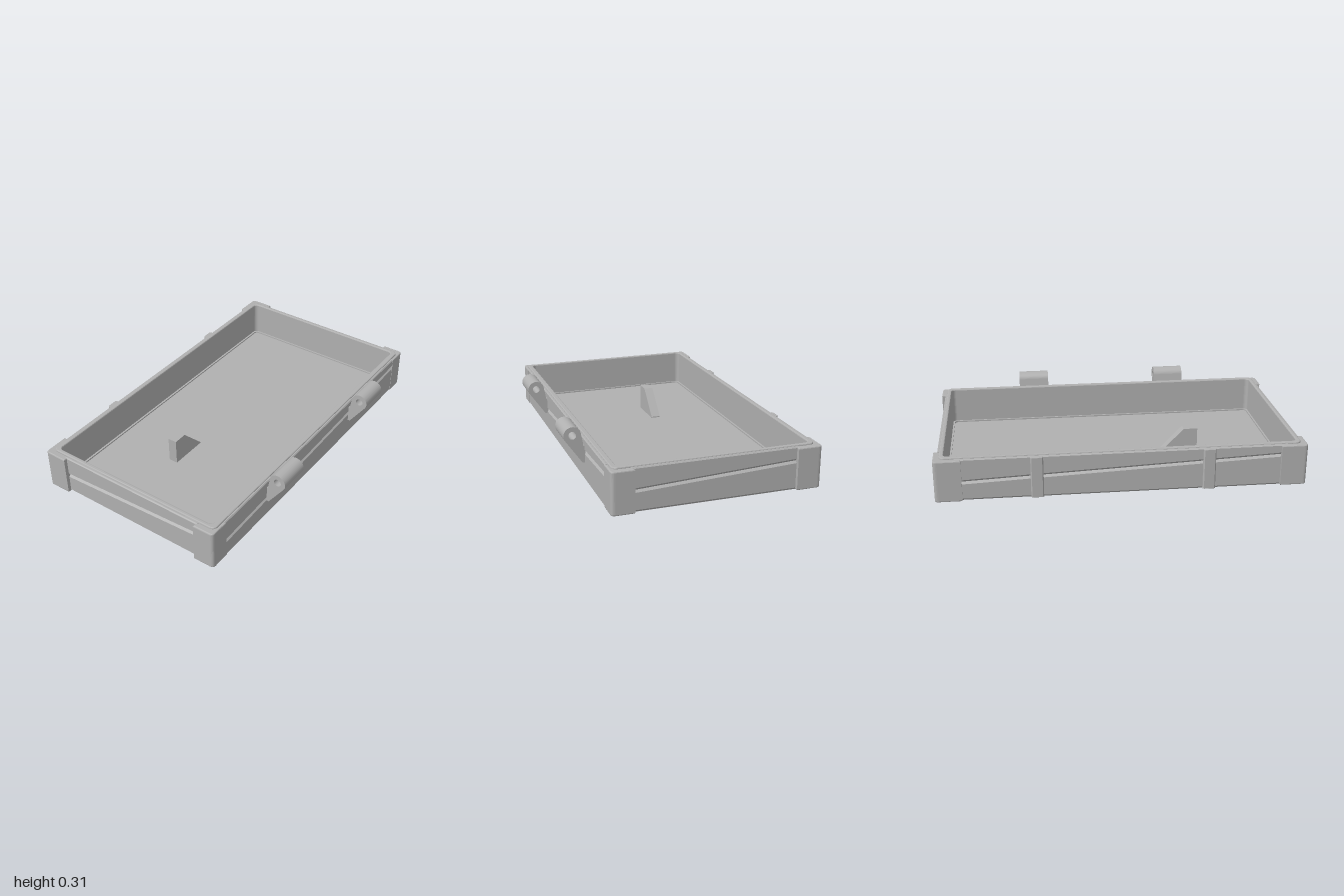
import * as THREE from 'three';

const grey = new THREE.MeshStandardMaterial({ color: 0xb0b0b0 });
grey.name = 'plain grey';

// Tray plan: back and front faces, and half width
const BACK = -0.605, FRONT = 0.51, HALF = 0.98;
const MID = (BACK + FRONT) / 2;

function add(parent, name, geometry) {
  const mesh = new THREE.Mesh(geometry, grey);
  mesh.name = name;
  parent.add(mesh);
  return mesh;
}

// Rounded rectangle, drawn in plan with y = -z
function roundedRect(Type, x, z0, z1, r) {
  const s = new Type(), b = -z1, t = -z0;
  s.moveTo(-x + r, b);
  s.lineTo(x - r, b);
  s.absarc(x - r, b + r, r, -Math.PI / 2, 0);
  s.lineTo(x, t - r);
  s.absarc(x - r, t - r, r, 0, Math.PI / 2);
  s.lineTo(-x + r, t);
  s.absarc(-x + r, t - r, r, Math.PI / 2, Math.PI);
  s.lineTo(-x, b + r);
  s.absarc(-x + r, b + r, r, Math.PI, Math.PI * 1.5);
  return s;
}

// Extrude a plan shape upwards between two heights, bevelled within its outline
function rise(shape, y0, y1, bevel = 0) {
  const g = new THREE.ExtrudeGeometry(shape, {
    depth: y1 - y0 - 2 * bevel, curveSegments: 6, bevelEnabled: bevel > 0,
    bevelThickness: bevel, bevelSize: bevel, bevelOffset: -bevel, bevelSegments: 2,
  });
  g.rotateX(-Math.PI / 2);
  g.translate(0, y0 + bevel, 0);
  return g;
}

// Sweep a profile of [inward, height, shift inward, shift up] along x;
// the shifts move a point at the far end, so grooves can run at a slant
function sweep(points, length) {
  const shape = new THREE.Shape(points.map(p => new THREE.Vector2(p[0], p[1])));
  const g = new THREE.ExtrudeGeometry(shape, { depth: length, bevelEnabled: false });
  const pos = g.attributes.position;
  for (let i = 0; i < pos.count; i++) {
    if (pos.getZ(i) < length / 2) continue;
    const u = pos.getX(i), v = pos.getY(i);
    const p = points.find(q => Math.hypot(q[0] - u, q[1] - v) < 1e-4);
    if (p) pos.setXY(i, u + (p[2] || 0), v + (p[3] || 0));
  }
  g.computeVertexNormals();
  g.translate(0, 0, -length / 2);
  g.rotateY(Math.PI / 2);
  return g;
}

// Outer wall with a slanted V groove
function wallPanel(length, yStart, yEnd) {
  const d = yEnd - yStart;
  return sweep([
    [0.02, 0], [0.02, 0.236], [0.005, 0.236], [0, 0.23],
    [0, yStart + 0.012, 0, d], [0.011, yStart, 0, d], [0, yStart - 0.012, 0, d],
    [0, 0.012], [0.01, 0.001],
  ], length);
}

// Underside with three V grooves
function underside(length) {
  const pts = [[-FRONT + 0.012, 0.012], [-FRONT + 0.012, 0]];
  for (const [zLeft, zRight] of [[0.14, 0.27], [-0.05, -0.06], [-0.39, -0.27]]) {
    const u = -zLeft, s = zLeft - zRight;
    pts.push([u - 0.01, 0, s, 0], [u, 0.01, s, 0], [u + 0.01, 0, s, 0]);
  }
  pts.push([-BACK - 0.012, 0], [-BACK - 0.012, 0.012]);
  return sweep(pts, length);
}

// L-shaped corner guard for the +x side; dir is 1 at the front, -1 at the back
function cornerGuard(zOut, dir, xArm, zArm) {
  const r = 0.022, t = 0.045, s = new THREE.Shape();
  const Y = z => -z;
  s.moveTo(xArm, Y(zOut));
  s.lineTo(1 - r, Y(zOut));
  s.quadraticCurveTo(1, Y(zOut), 1, Y(zOut - dir * r));
  s.lineTo(1, Y(zArm));
  s.lineTo(1 - t, Y(zArm));
  s.lineTo(1 - t, Y(zOut - dir * t));
  s.lineTo(xArm, Y(zOut - dir * t));
  return rise(s, 0.003, 0.234, 0.006);
}

// Hinge knuckle: pierced eye on a tapering arm, profile in (z, y)
function hingeGeometry(width) {
  const cz = 0.575, cy = 0.262, r = 0.047;
  const s = new THREE.Shape();
  s.moveTo(0.505, 0.107);
  s.lineTo(0.523, 0.107);
  s.absarc(cz, cy, r, -0.55, Math.PI - 0.25);
  s.lineTo(0.516, 0.2);
  s.lineTo(0.505, 0.2);
  const hole = new THREE.Path();
  hole.absarc(cz, cy, 0.021, 0, Math.PI * 2, true);
  s.holes.push(hole);
  const g = new THREE.ExtrudeGeometry(s, { depth: width, bevelEnabled: false, curveSegments: 28 });
  g.translate(0, 0, -width / 2);
  g.rotateY(-Math.PI / 2);
  return g;
}

export function createModel() {
  const model = new THREE.Group();
  model.name = 'tray';

  // Inner wall ring with a softened rim
  const ring = roundedRect(THREE.Shape, HALF - 0.012, BACK + 0.012, FRONT - 0.012, 0.03);
  ring.holes.push(roundedRect(THREE.Path, 0.945, -0.567, 0.467, 0.025));
  add(model, 'wallRing', rise(ring, 0.012, 0.243, 0.006));

  // Floor and the small step around it
  add(model, 'floor', rise(roundedRect(THREE.Shape, 0.96, -0.585, 0.49, 0.02), 0.011, 0.03));
  const step = roundedRect(THREE.Shape, 0.95, -0.572, 0.472, 0.025);
  step.holes.push(roundedRect(THREE.Path, 0.935, -0.556, 0.456, 0.02));
  add(model, 'floorStep', rise(step, 0.025, 0.038));

  // Underside
  add(model, 'underside', underside(1.78));
  for (const side of [-1, 1]) {
    const strip = new THREE.BoxGeometry(0.08, 0.012, FRONT - BACK - 0.024);
    add(model, 'undersideEnd', strip).position.set(side * 0.93, 0.006, MID);
  }

  // Grooved outer walls, each rising to the viewer's right
  const walls = [
    ['frontWall', 1.78, 0.105, 0.18, 0, 0, FRONT],
    ['leftWall', 0.90, 0.115, 0.16, HALF, 1, MID],
    ['backWall', 1.78, 0.105, 0.18, 0, 2, BACK],
    ['rightWall', 0.90, 0.115, 0.16, -HALF, 3, MID],
  ];
  for (const [name, length, y0, y1, x, turn, z] of walls) {
    const wall = add(model, name, wallPanel(length, y0, y1));
    wall.rotation.y = turn * Math.PI / 2;
    wall.position.set(x, 0, z);
  }

  // Corner guards, turned half round about z so that both sides match
  for (const [name, zOut, dir, xArm, zArm] of [
    ['frontCornerGuard', 0.512, 1, 0.885, 0.39],
    ['backCornerGuard', -0.62, -1, 0.855, -0.485],
  ]) {
    for (const side of [1, -1]) {
      const guard = add(model, name, cornerGuard(zOut, dir, xArm, zArm));
      if (side < 0) {
        guard.rotation.z = Math.PI;
        guard.position.y = 0.237;
      }
    }
  }

  // Hinges in front and upright ribs behind
  for (const side of [-1, 1]) {
    add(model, 'hinge', hingeGeometry(0.18)).position.x = side * 0.43;
    const rib = new THREE.Shape();
    rib.moveTo(-0.034, 0.59);
    rib.lineTo(0.034, 0.59);
    rib.lineTo(0.034, 0.614);
    rib.lineTo(0.028, 0.62);
    rib.lineTo(-0.028, 0.62);
    rib.lineTo(-0.034, 0.614);
    add(model, 'backRib', rise(rib, 0.004, 0.234, 0.003)).position.x = side * 0.461;
  }

  // Sloping fin on the floor
  const fin = new THREE.Shape([[-0.48, 0.025], [-0.26, 0.025], [-0.26, 0.036], [-0.4, 0.18], [-0.48, 0.18]]
    .map(p => new THREE.Vector2(...p)));
  const finGeometry = new THREE.ExtrudeGeometry(fin, { depth: 0.053, bevelEnabled: false });
  add(model, 'floorFin', finGeometry).position.z = -0.186;

  return model;
}
